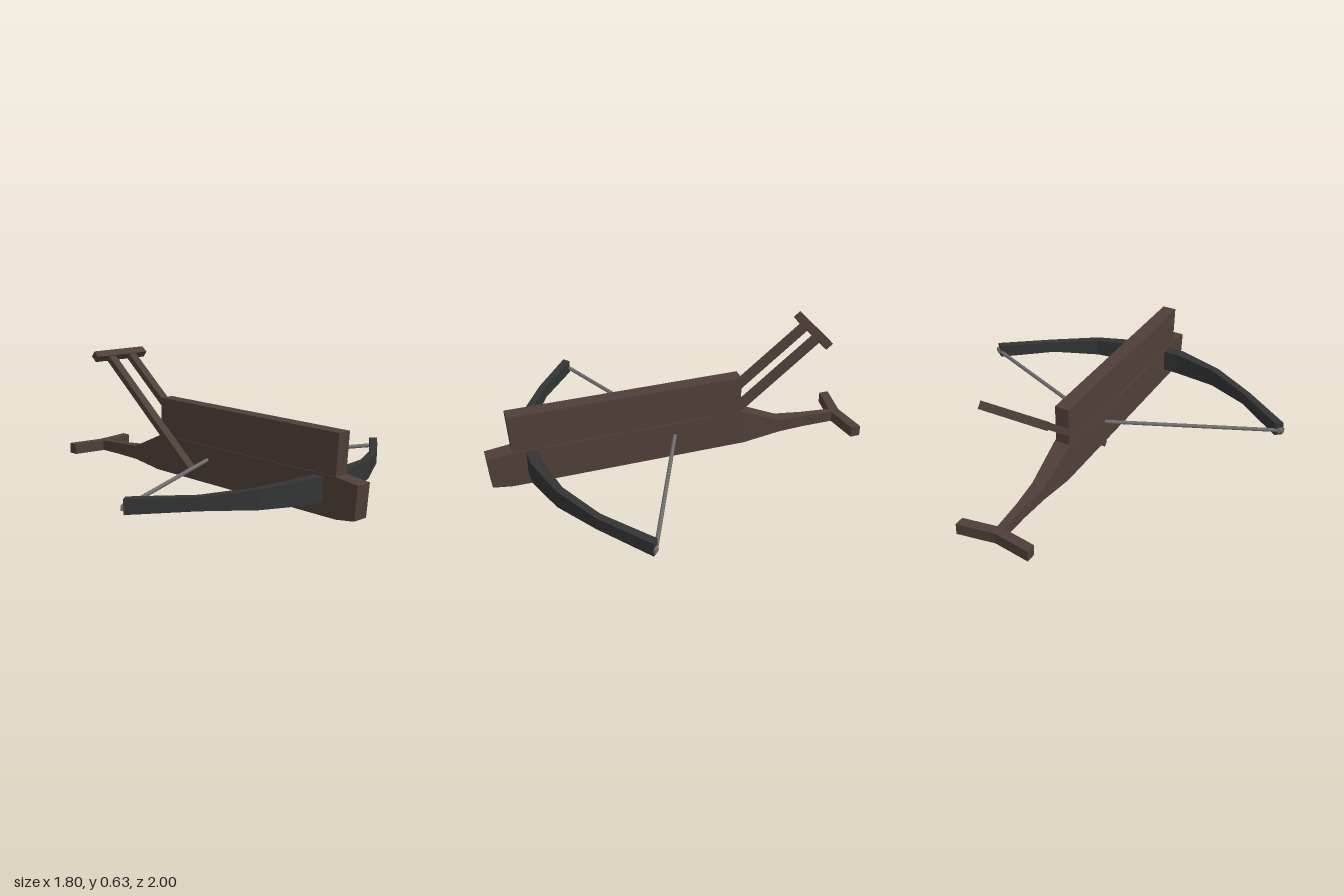
import * as THREE from 'three';

const wood = new THREE.MeshStandardMaterial({ color: 0x4f3f39 });
wood.name = 'dark wood';
const iron = new THREE.MeshStandardMaterial({ color: 0x333434 });
iron.name = 'blackened iron';
const cord = new THREE.MeshStandardMaterial({ color: 0x707070 });
cord.name = 'grey cord';

// Flat-faced solid through four-cornered rings, each counterclockwise seen from the far end
function loft(rings) {
  const pos = [];
  const quad = (a, b, c, d) => pos.push(...a, ...b, ...c, ...a, ...c, ...d);
  for (let i = 0; i < rings.length - 1; i++) {
    for (let j = 0; j < 4; j++) {
      const k = (j + 1) % 4;
      quad(rings[i][j], rings[i][k], rings[i + 1][k], rings[i + 1][j]);
    }
  }
  const first = rings[0], last = rings[rings.length - 1];
  quad(first[3], first[2], first[1], first[0]);
  quad(...last);
  const geometry = new THREE.BufferGeometry();
  geometry.setAttribute('position', new THREE.Float32BufferAttribute(pos, 3));
  geometry.computeVertexNormals();
  return geometry;
}

// Ring across the z axis: half width, bottom y and z, top y and z
const zRing = (w, yb, zb, yt, zt = zb) => [[w, yb, zb], [w, yt, zt], [-w, yt, zt], [-w, yb, zb]];

// Ring across the x axis: bottom and top y, rear x and z, front x and z
const xRing = (yb, yt, xr, zr, xf, zf) => [[xr, yb, zr], [xr, yt, zr], [xf, yt, zf], [xf, yb, zf]];

// Half profile from the centre outwards, mirrored into a full run along x
function mirrorLoft(half) {
  const right = half.map(([yb, yt, xr, zr, xf, zf]) => xRing(yb, yt, -xr, zr, -xf, zf)).reverse();
  const left = half.filter((s) => s[2] > 0).map((s) => xRing(...s));
  return loft([...right, ...left]);
}

export function createModel() {
  const model = new THREE.Group();
  const add = (name, geometry, material, parent = model) => {
    const mesh = new THREE.Mesh(geometry, material);
    mesh.name = name;
    parent.add(mesh);
    return mesh;
  };

  // Main beam with a tapering tail
  add('stock', loft([
    zRing(0.018, 0.013, -0.94, 0.07),
    zRing(0.022, 0.017, -0.75, 0.083),
    zRing(0.034, 0.02, -0.59, 0.096),
    zRing(0.044, 0.0, -0.38, 0.2, -0.355),
    zRing(0.043, 0.0, 0.88, 0.2, 0.87),
    zRing(0.043, 0.015, 0.985, 0.185, 1.0),
  ]), wood);

  // Raised slider on top of the beam
  add('slider', loft([
    zRing(0.038, 0.19, -0.355, 0.405),
    zRing(0.038, 0.19, 0.868, 0.405, 0.882),
  ]), wood);

  // Swept belly rest at the tail
  add('bellyRest', mirrorLoft([
    [0.012, 0.07, 0, -0.968, 0, -0.915],
    [0.012, 0.07, 0.197, -1.0, 0.197, -0.947],
  ]), wood);

  // Curved bow limbs
  add('bow', mirrorLoft([
    [0.07, 0.19, 0.125, 0.742, 0.135, 0.8],
    [0.084, 0.179, 0.37, 0.692, 0.39, 0.728],
    [0.1, 0.164, 0.605, 0.568, 0.63, 0.597],
    [0.094, 0.165, 0.858, 0.372, 0.893, 0.4],
  ]), iron);

  // Bowstring halves and their tip loops
  const centre = new THREE.Vector3(0, 0.125, -0.003);
  for (const side of [1, -1]) {
    const tip = new THREE.Vector3(side * 0.885, 0.122, 0.39);
    const path = new THREE.LineCurve3(centre, tip);
    add(side > 0 ? 'leftString' : 'rightString', new THREE.TubeGeometry(path, 1, 0.011, 6), cord);
    const loop = add(side > 0 ? 'leftStringLoop' : 'rightStringLoop',
      new THREE.BoxGeometry(0.012, 0.024, 0.032), cord);
    loop.position.set(side * 0.886, 0.125, 0.388);
    loop.rotation.y = side * 0.88;
  }

  // Sloping lever: two arms joined by a crossbar, built along local z
  const lever = new THREE.Group();
  lever.name = 'lever';
  lever.position.set(0, 0.055, -0.073);
  lever.rotation.x = Math.atan2(0.555, 0.705);
  for (const side of [1, -1]) {
    const arm = add(side > 0 ? 'leftArm' : 'rightArm', new THREE.BoxGeometry(0.047, 0.033, 0.89), wood, lever);
    arm.position.set(side * 0.072, 0, -0.445);
  }
  const bar = add('crossbar', new THREE.BoxGeometry(0.345, 0.04, 0.045), wood, lever);
  bar.position.z = -0.882;
  model.add(lever);

  return model;
}
